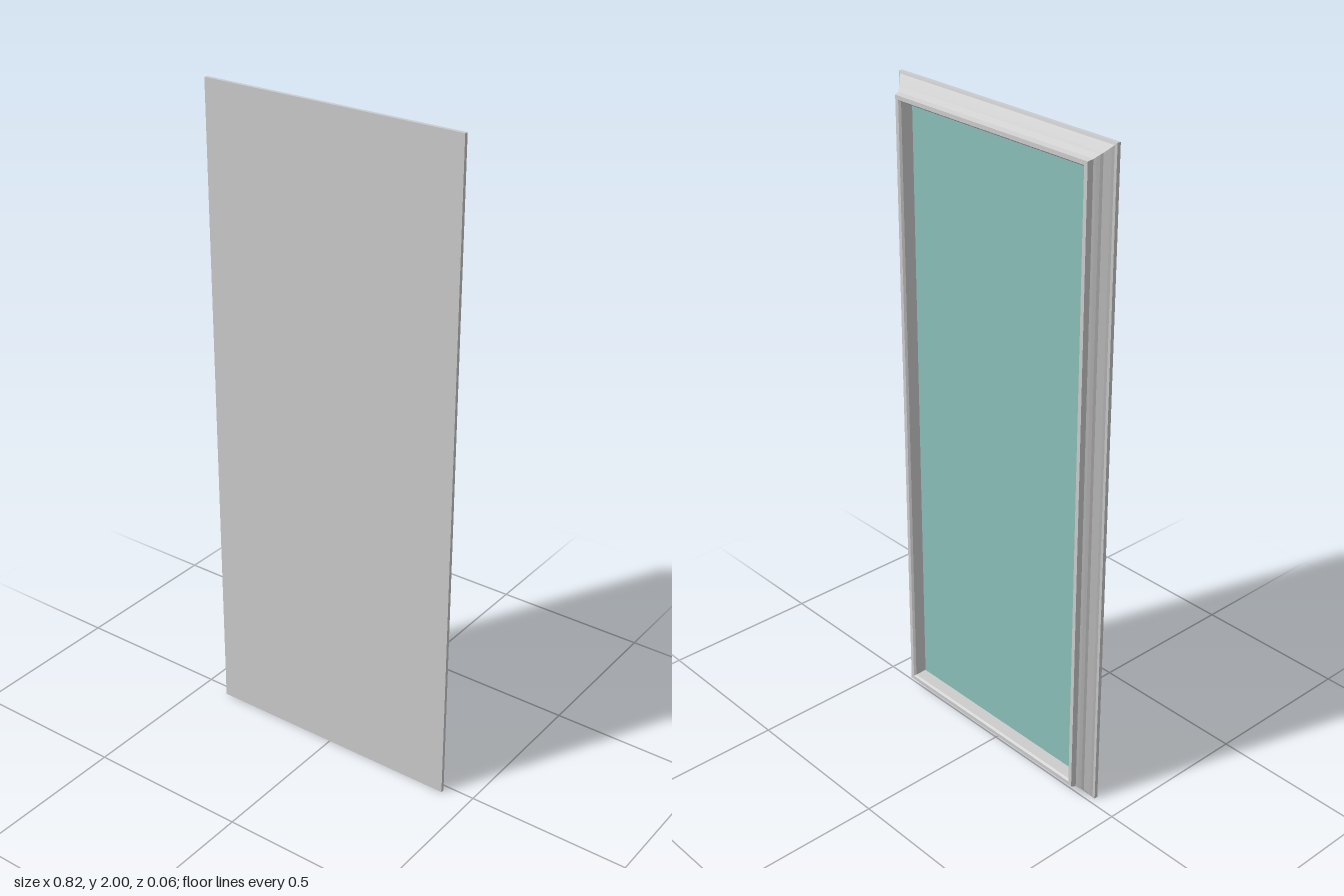
import * as THREE from 'three';

const HALF_W = 0.41, HEIGHT = 2, FRONT = 0.031, GLASS_Z = 0.01;

// Moulding section as [inset from outer edge, z], from the flat face round to the glass rebate
const PROFILE = [
  [0, FRONT], [0, 0.02], [0.007, 0.018], [0.012, 0.013], [0.027, 0.001], [0.031, -0.006],
  [0.037, -0.013], [0.042, -0.018], [0.046, -0.033], [0.058, -0.033], [0.063, -0.027], [0.064, GLASS_Z],
];

// Sweeps the section round a rectangle with mitred corners
function mitredFrame(profile) {
  const corners = [[1, -1], [1, 1], [-1, 1], [-1, -1]];
  const at = ([sx, sy], [inset, z]) =>
    [sx * (HALF_W - inset), HEIGHT / 2 + sy * (HEIGHT / 2 - inset), z];
  const pos = [];
  corners.forEach((a, i) => {
    const b = corners[(i + 1) % 4];
    for (let j = 0; j < profile.length - 1; j++) {
      const p = profile[j], q = profile[j + 1];
      pos.push(...at(a, p), ...at(a, q), ...at(b, q));
      pos.push(...at(a, p), ...at(b, q), ...at(b, p));
    }
  });
  const geo = new THREE.BufferGeometry();
  geo.setAttribute('position', new THREE.Float32BufferAttribute(pos, 3));
  geo.computeVertexNormals();
  return geo;
}

export function createModel() {
  const group = new THREE.Group();
  group.name = 'framedMirror';
  const grey = new THREE.MeshStandardMaterial({ color: 0xcccccc, flatShading: true });
  const tint = new THREE.MeshStandardMaterial({ color: 0x8abeb8 });

  const add = (name, geo, mat) => {
    const mesh = new THREE.Mesh(geo, mat);
    mesh.name = name;
    group.add(mesh);
    return mesh;
  };

  add('frame', mitredFrame(PROFILE), grey);

  // Flat panel closing the +z face
  add('flatPanel', new THREE.PlaneGeometry(HALF_W * 2, HEIGHT), grey)
    .position.set(0, HEIGHT / 2, FRONT);

  // Glass set into the rebate, facing -z
  const inset = PROFILE[PROFILE.length - 1][0];
  const glass = add('mirrorGlass',
    new THREE.PlaneGeometry((HALF_W - inset) * 2, HEIGHT - inset * 2), tint);
  glass.rotation.y = Math.PI;
  glass.position.set(0, HEIGHT / 2, GLASS_Z);

  return group;
}
